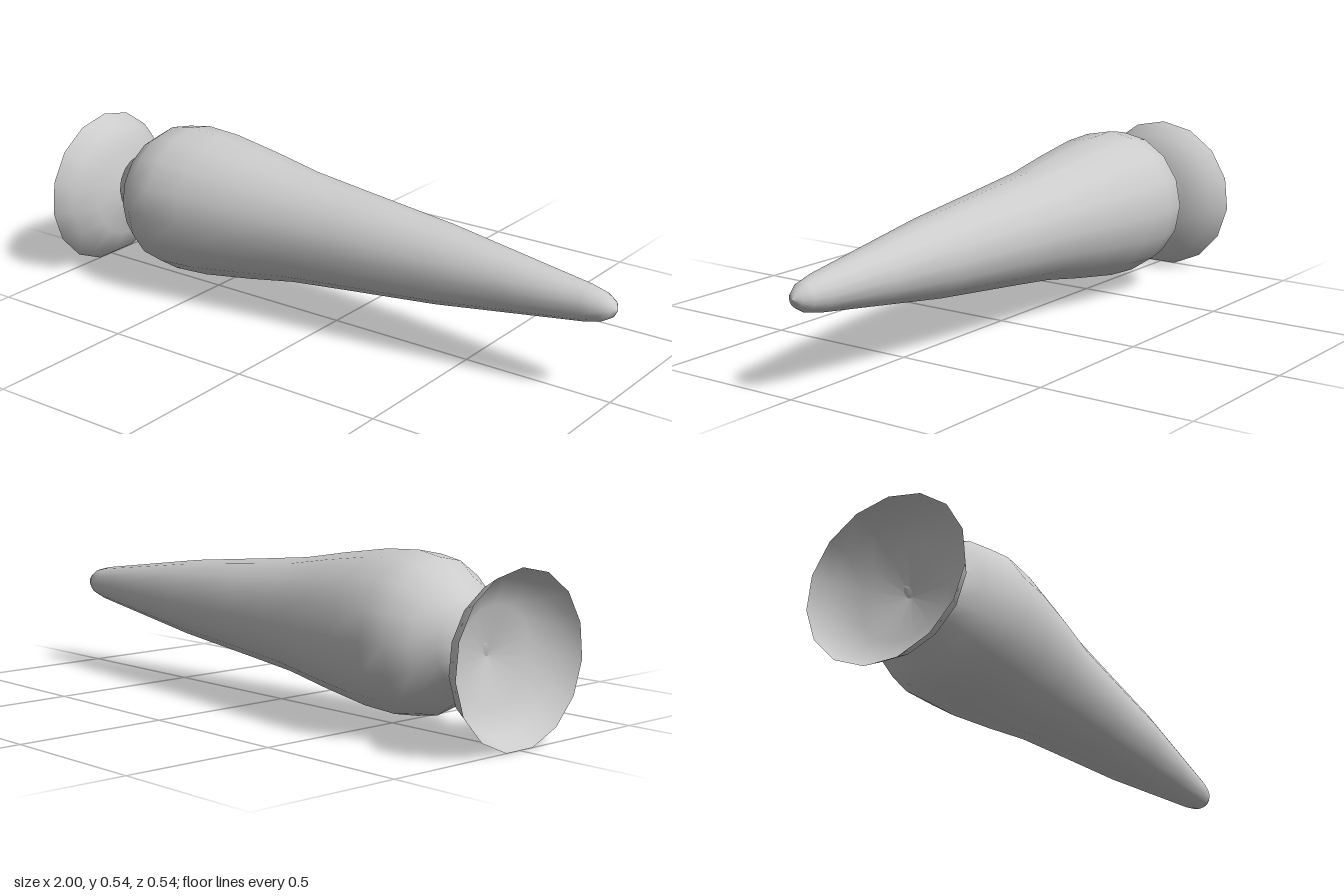
import * as THREE from 'three';

// Lathe around the x axis; profile is [x, radius] pairs from -x to +x, with a corner at the top.
function turned(name, profile, sides, y, z, material) {
  const points = profile.map(([x, r]) => new THREE.Vector2(r, x));
  const geometry = new THREE.LatheGeometry(points, sides, -Math.PI / 2);
  geometry.rotateZ(-Math.PI / 2);
  const mesh = new THREE.Mesh(geometry, material);
  mesh.name = name;
  mesh.position.set(0, y, z);
  return mesh;
}

export function createModel() {
  const group = new THREE.Group();
  group.name = 'taperedPlug';
  const grey = new THREE.MeshStandardMaterial({ color: 0xcccccc });
  const greyThin = new THREE.MeshStandardMaterial({ color: 0xcccccc, side: THREE.DoubleSide });

  // Long tapering body with a rounded shoulder and blunt tip
  group.add(turned('body', [
    [-0.88, 0], [-0.862, 0.1], [-0.815, 0.132], [-0.765, 0.19], [-0.7, 0.233],
    [-0.617, 0.247], [-0.49, 0.24], [-0.31, 0.213], [-0.137, 0.183], [0.06, 0.162],
    [0.4, 0.127], [0.65, 0.092], [0.9, 0.057], [0.955, 0.044], [0.985, 0.026], [1, 0],
  ], 16, 0.289, -0.016, grey));

  // Open suction cup, hollow towards -x and slightly flattened in height
  const cup = turned('suctionCup', [
    [-1, 0.27], [-0.942, 0.235], [-0.9, 0.155], [-0.872, 0],
  ], 15, 0.256, 0, greyThin);
  cup.scale.y = 0.97;
  group.add(cup);

  return group;
}
